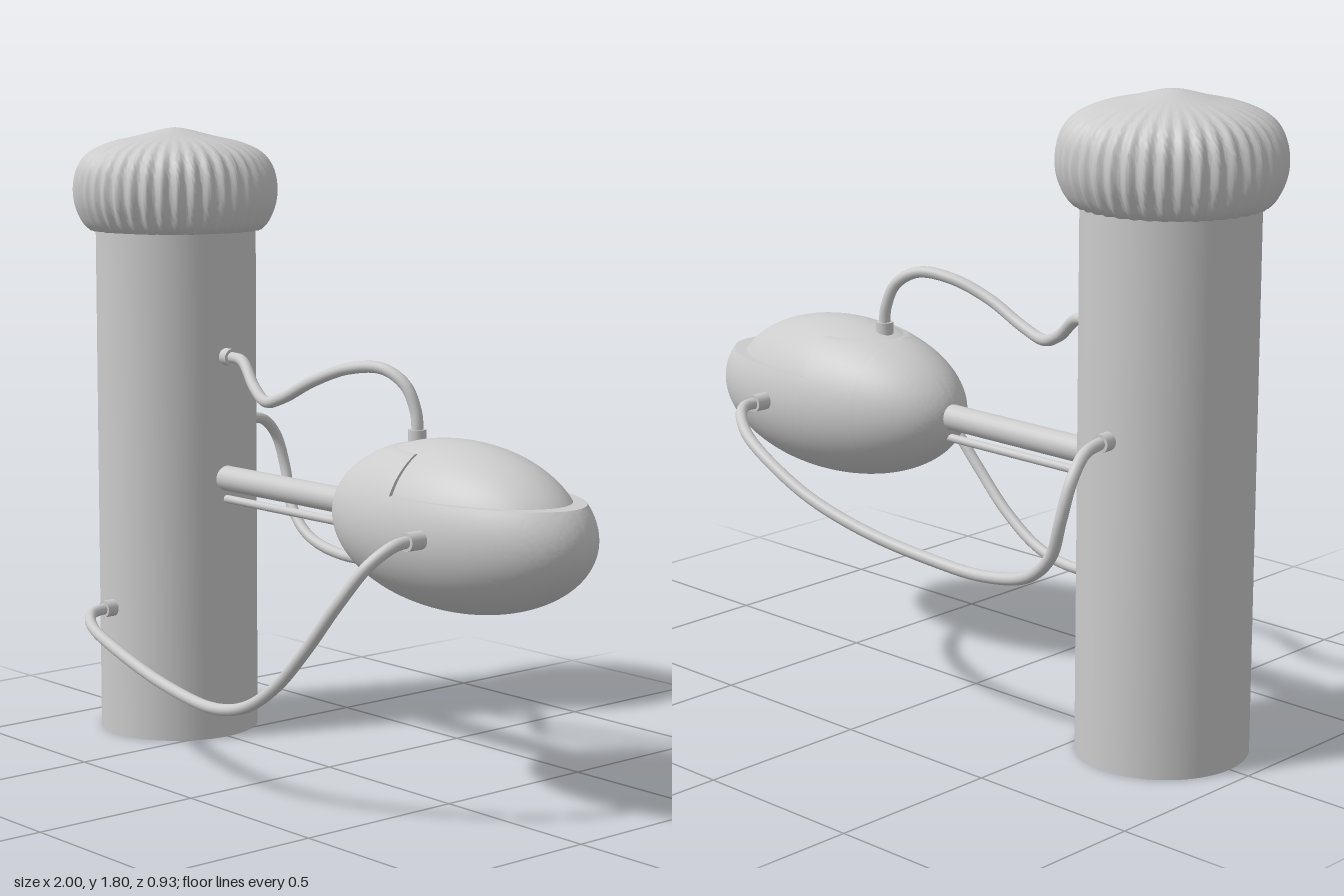
import * as THREE from 'three';
import { toCreasedNormals } from 'three/addons/utils/BufferGeometryUtils.js';

const material = new THREE.MeshStandardMaterial({ color: 0xcccccc });
const V = (p) => new THREE.Vector3(...p);

function mesh(name, geometry, parent) {
  const m = new THREE.Mesh(geometry, material);
  m.name = name;
  parent.add(m);
  return m;
}

// Straight round bar between two points
function rod(name, a, b, radius, parent) {
  const from = V(a), to = V(b), dir = to.clone().sub(from);
  const m = mesh(name, new THREE.CylinderGeometry(radius, radius, dir.length(), 24), parent);
  m.position.copy(from).add(to).multiplyScalar(0.5);
  m.quaternion.setFromUnitVectors(new THREE.Vector3(0, 1, 0), dir.normalize());
}

// Bent hose with a collar at each end
function hose(name, points, parent) {
  const group = new THREE.Group();
  group.name = name;
  const curve = new THREE.CatmullRomCurve3(points.map(V));
  mesh('tube', new THREE.TubeGeometry(curve, 120, 0.0165, 14), group);
  const n = points.length;
  rod('startCollar', points[0], points[1], 0.025, group);
  rod('endCollar', points[n - 1], points[n - 2], 0.025, group);
  parent.add(group);
}

// Domed cap with fluted sides that fade out towards the tip
function cap() {
  const profile = new THREE.SplineCurve([
    [0.25, 1.5], [0.272, 1.525], [0.292, 1.575], [0.296, 1.63], [0.283, 1.685],
    [0.25, 1.728], [0.19, 1.757], [0.11, 1.776], [0.04, 1.794], [0, 1.8],
  ].map(([x, y]) => new THREE.Vector2(x, y))).getPoints(36);
  profile[36].x = 0;
  const g = new THREE.LatheGeometry([new THREE.Vector2(0, 1.5), ...profile], 320);
  const p = g.attributes.position;
  for (let i = 0; i < p.count; i++) {
    const x = p.getX(i), z = p.getZ(i), r = Math.hypot(x, z);
    const depth = 0.022 * THREE.MathUtils.smoothstep(r, 0.03, 0.29);
    const k = 1 + depth * Math.cos(40 * Math.atan2(z, x));
    p.setX(i, x * k);
    p.setZ(i, z * k);
  }
  return toCreasedNormals(g, 0.9);
}

// Egg-shaped shell lofted along x, its top cut away in two steps
function shell() {
  const cx = 0.542, cy = 0.776, rx = 0.454, ry = 0.232, rz = 0.236;
  const step = 0.49, around = 72, along = 56;
  const rings = [];
  const tStep = Math.acos((cx - step) / rx);
  for (let i = 0; i <= along; i++) rings.push([tStep * i / along, 0.973]);
  for (let i = 0; i <= along; i++) rings.push([tStep + (Math.PI - tStep) * i / along, 0.87]);

  const pos = [], index = [], row = around + 1;
  rings.forEach(([t, cut]) => {
    const s = Math.max(Math.sin(t), 1e-6);
    const top = Math.acos(Math.min(1, (cut - cy) / (ry * s)));
    for (let j = 0; j <= around; j++) {
      const a = top + (2 * Math.PI - 2 * top) * j / around;
      pos.push(cx - rx * Math.cos(t), cy + ry * s * Math.cos(a), rz * s * Math.sin(a));
    }
  });
  for (let i = 0; i < rings.length - 1; i++) {
    for (let j = 0; j < row; j++) {
      const a = i * row + j, b = i * row + (j + 1) % row;
      index.push(a, b, b + row, a, b + row, a + row);
    }
  }
  const g = new THREE.BufferGeometry();
  g.setAttribute('position', new THREE.Float32BufferAttribute(pos, 3));
  g.setIndex(index);
  return toCreasedNormals(g, 0.6);
}

export function createModel() {
  const model = new THREE.Group();
  model.name = 'postWithPod';

  // Post and cap
  rod('post', [-0.7, 0, 0], [-0.7, 1.52, 0], 0.237, model);
  model.children[0].geometry = new THREE.CylinderGeometry(0.237, 0.237, 1.52, 96);
  mesh('flutedCap', cap(), model).position.x = -0.7;

  // Arm
  rod('arm', [-0.5, 0.78, 0], [0.16, 0.78, 0], 0.037, model);
  rod('armBrace', [-0.5, 0.718, 0], [0.2, 0.718, 0], 0.012, model);

  // Pod: stepped outer shell and smooth inner body
  const pod = new THREE.Group();
  pod.name = 'pod';
  mesh('outerShell', shell(), pod);
  const body = mesh('innerBody', new THREE.SphereGeometry(1, 72, 48), pod);
  body.scale.set(0.412, 0.229, 0.224);
  body.position.set(0.53, 0.776, 0);
  model.add(pod);

  // Hoses
  hose('topHose', [
    [-0.475, 1.14, 0], [-0.43, 1.14, 0.004], [-0.36, 1.135, 0.02], [-0.27, 1.07, 0.05],
    [-0.19, 1.04, 0.073], [-0.1, 1.062, 0.084], [0.03, 1.122, 0.082], [0.15, 1.165, 0.058],
    [0.26, 1.172, 0.03], [0.33, 1.13, 0.01], [0.36, 1.06, 0], [0.366, 1.015, 0], [0.366, 0.97, 0],
  ], model);
  hose('frontHose', [
    [-0.71, 0.385, 0.22], [-0.71, 0.385, 0.272], [-0.69, 0.382, 0.33], [-0.61, 0.363, 0.385],
    [-0.45, 0.325, 0.415], [-0.2, 0.27, 0.432], [0.02, 0.246, 0.435], [0.16, 0.275, 0.438],
    [0.3, 0.357, 0.446], [0.43, 0.48, 0.45], [0.54, 0.62, 0.432], [0.605, 0.722, 0.388],
    [0.63, 0.768, 0.325], [0.63, 0.775, 0.28], [0.63, 0.775, 0.22],
  ], model);
  hose('rearHose', [
    [-0.7, 0.91, -0.22], [-0.703, 0.91, -0.272], [-0.713, 0.897, -0.345], [-0.724, 0.84, -0.405],
    [-0.71, 0.74, -0.428], [-0.665, 0.63, -0.415], [-0.57, 0.55, -0.4], [-0.4, 0.512, -0.392],
    [-0.2, 0.52, -0.402], [0, 0.553, -0.427], [0.2, 0.61, -0.447], [0.36, 0.675, -0.445],
    [0.5, 0.73, -0.415], [0.59, 0.765, -0.36], [0.627, 0.775, -0.31], [0.63, 0.775, -0.278],
    [0.63, 0.775, -0.22],
  ], model);

  return model;
}
